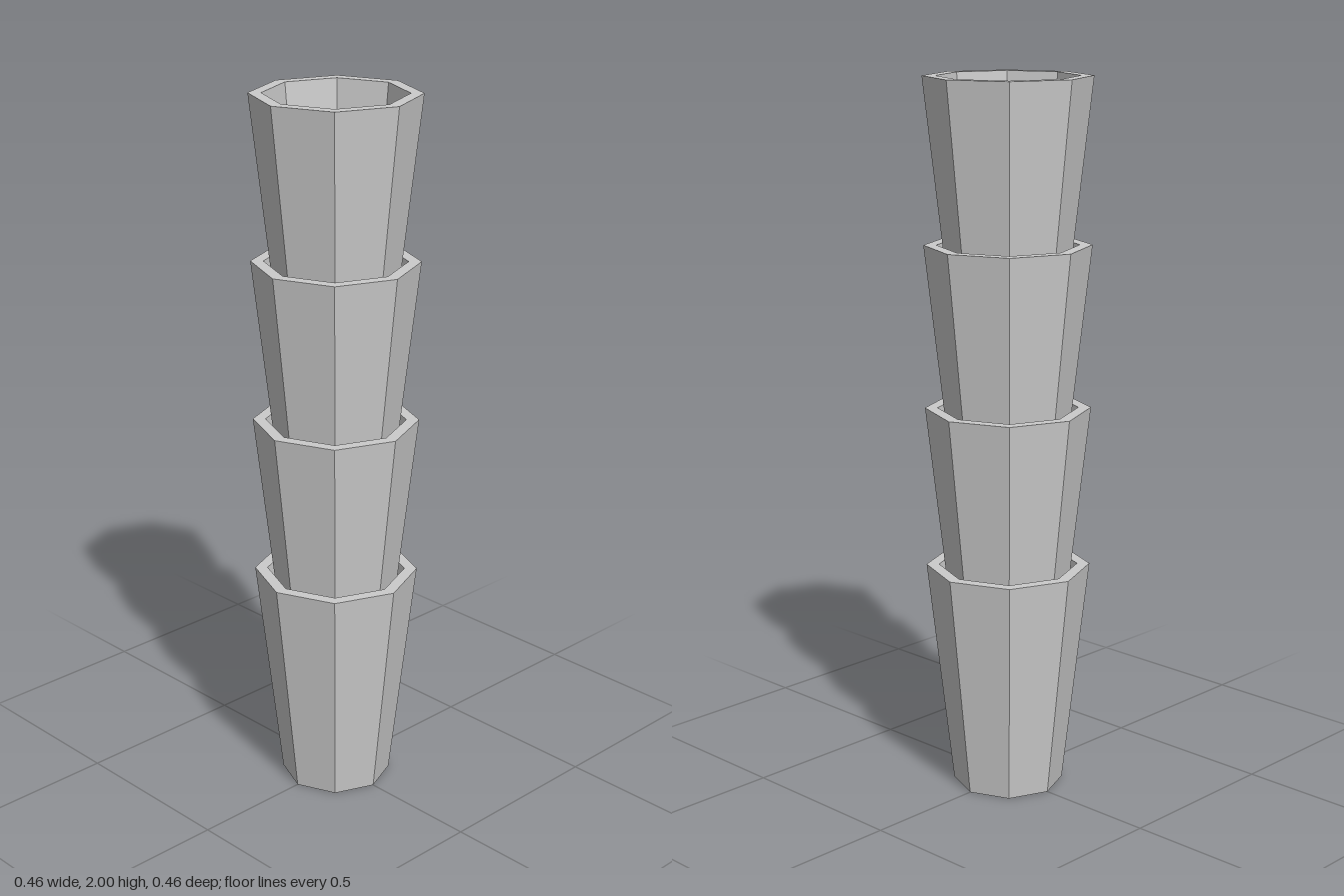
import * as THREE from 'three';

const CUP_COUNT = 4;
const CUP_HEIGHT = 0.645;
const STACK_STEP = (2 - CUP_HEIGHT) / (CUP_COUNT - 1);

export function createModel() {
  const group = new THREE.Group();
  group.name = 'cupStack';
  const material = new THREE.MeshStandardMaterial({ color: 0xcccccc, flatShading: true });

  // Octagonal cup: underside, tapered outer wall, flat rim, inner wall, inner floor
  const profile = [
    [0, 0],
    [0.155, 0],
    [0.229, CUP_HEIGHT],
    [0.194, CUP_HEIGHT],
    [0.136, 0.065],
    [0, 0.065],
  ].map(([r, y]) => new THREE.Vector2(r, y));
  const cupGeometry = new THREE.LatheGeometry(profile, 8);

  // Each cup nests inside the rim of the one below
  for (let i = 0; i < CUP_COUNT; i++) {
    const cup = new THREE.Mesh(cupGeometry, material);
    cup.name = `cup${i + 1}`;
    cup.position.y = i * STACK_STEP;
    group.add(cup);
  }
  return group;
}
